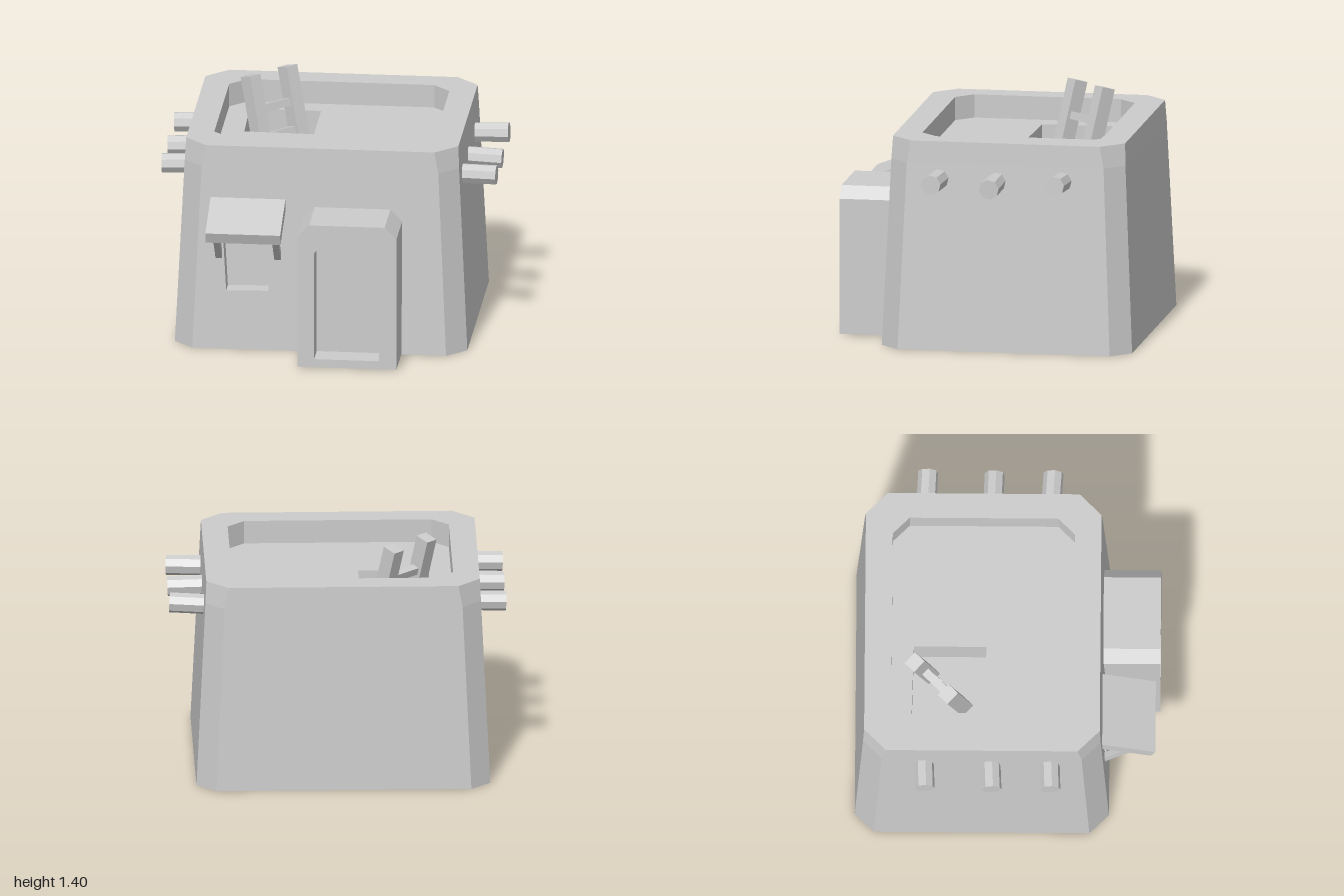
import * as THREE from 'three';

const mat = new THREE.MeshStandardMaterial({ color: 0xcccccc, flatShading: true });

function add(parent, name, geometry) {
  const mesh = new THREE.Mesh(geometry, mat);
  mesh.name = name;
  parent.add(mesh);
  return mesh;
}

// Skin a list of equal-length rings of [x, y, z]; skip leaves one side open
function loft(rings, { cap = false, base = false, skip = -1 } = {}) {
  const pos = [];
  const tri = (a, b, c) => pos.push(...a, ...b, ...c);
  const n = rings[0].length;
  for (let r = 0; r < rings.length - 1; r++) {
    const a = rings[r], b = rings[r + 1];
    for (let i = 0; i < n; i++) {
      if (i === skip && r < 2) continue;
      const j = (i + 1) % n;
      tri(a[i], a[j], b[j]);
      tri(a[i], b[j], b[i]);
    }
  }
  const first = rings[0], last = rings[rings.length - 1];
  for (let i = 1; i < n - 1; i++) {
    if (cap) tri(last[0], last[i], last[i + 1]);
    if (base) tri(first[0], first[i + 1], first[i]);
  }
  const g = new THREE.BufferGeometry();
  g.setAttribute('position', new THREE.Float32BufferAttribute(pos, 3));
  g.computeVertexNormals();
  return g;
}

// Rectangle with cut corners at height y, starting with its front side
function octagon(y, x0, x1, z0, z1, c) {
  return [[x0 + c, z1], [x1 - c, z1], [x1, z1 - c], [x1, z0 + c],
    [x1 - c, z0], [x0 + c, z0], [x0, z0 + c], [x0, z1 - c]].map(([x, z]) => [x, y, z]);
}

// Doorway outline with cut upper corners at depth z
function arch(z, x0, x1, y0, y1, cx, cy) {
  return [[x0, y0], [x1, y0], [x1, y1 - cy], [x1 - cx, y1], [x0 + cx, y1], [x0, y1 - cy]]
    .map(([x, y]) => [x, y, z]);
}

const shapeOf = (pts) => new THREE.Shape(pts.map(([x, y]) => new THREE.Vector2(x, y)));
const frontZ = (y) => 0.6 - 0.044 * y;

export function createModel() {
  const model = new THREE.Group();
  model.name = 'house';

  // Tapered walls, rim and parapet inside
  const roofY = 1.11;
  const low = octagon(0, -0.9, 0.84, -0.905, 0.6, 0.115);
  const mid = octagon(1.12, -0.846, 0.786, -0.856, frontZ(1.12), 0.112);
  const top = octagon(1.25, -0.84, 0.78, -0.85, frontZ(1.25), 0.13);
  const rim = octagon(1.25, -0.685, 0.625, -0.69, 0.39, 0.1);
  const roof = octagon(roofY, -0.685, 0.625, -0.69, 0.39, 0.1);
  add(model, 'walls', loft([low, mid, top, rim, roof], { base: true, skip: 0 }));

  // Front wall with the window opening, leaned to the wall's slope
  const win = [[-0.585, 0.36], [-0.335, 0.365], [-0.305, 0.78], [-0.61, 0.78]];
  const frontShape = shapeOf([low[0], low[1], mid[1], top[1], top[0], mid[0]]);
  frontShape.holes.push(shapeOf(win));
  const front = new THREE.ShapeGeometry(frontShape);
  const p = front.attributes.position;
  for (let i = 0; i < p.count; i++) p.setZ(i, frontZ(p.getY(i)));
  front.computeVertexNormals();
  add(model, 'frontWall', front);
  add(model, 'windowRecess', loft(
    [0, 0.1].map((d) => win.map(([x, y]) => [x, y, frontZ(y) - d])), { cap: true }));

  // Flat roof with a sunken hatch
  const hatch = [[-0.55, -0.14], [-0.135, -0.13], [-0.135, -0.56], [-0.56, -0.57]];
  const roofShape = shapeOf(roof.map(([x, , z]) => [x, -z]));
  roofShape.holes.push(shapeOf(hatch.map(([x, z]) => [x, -z])));
  add(model, 'roof', new THREE.ShapeGeometry(roofShape).rotateX(-Math.PI / 2).translate(0, roofY, 0));
  add(model, 'hatchPit', loft(
    [roofY, 0.93].map((y) => hatch.map(([x, z]) => [x, y, z])), { cap: true }));

  // Leaning ladder in the hatch
  const ladder = new THREE.Group();
  ladder.name = 'ladder';
  ladder.position.set(-0.435, 1.388, -0.455);
  ladder.rotation.set(-0.27, Math.PI / 4, 0, 'YXZ');
  for (const side of [-1, 1]) {
    add(ladder, 'ladderPost', new THREE.BoxGeometry(0.08, 0.48, 0.09)).position.set(side * 0.141, -0.24, 0);
  }
  for (const y of [-0.21, -0.38]) {
    add(ladder, 'ladderRung', new THREE.BoxGeometry(0.24, 0.045, 0.05)).position.y = y;
  }
  model.add(ladder);

  // Porch with the recessed door
  const outer = (z) => arch(z, -0.13, 0.46, 0.005, 0.89, 0.07, 0.07);
  const door = (z) => arch(z, -0.03, 0.355, 0.055, 0.785, 0.05, 0.07);
  add(model, 'porch', loft([outer(0.5), outer(0.9), door(0.9), door(0.75)], { cap: true, base: true }));

  // Sloping awning over the window, on two diagonal struts
  const awning = add(model, 'awning', new THREE.BoxGeometry(0.445, 0.07, 0.36));
  awning.position.set(-0.4575, 0.842, 0.693);
  awning.rotation.x = 0.37;
  const from = new THREE.Vector3(0, 0.57, 0.56), to = new THREE.Vector3(0, 0.79, 0.76);
  for (const x of [-0.63, -0.28]) {
    const strut = add(model, 'awningStrut', new THREE.BoxGeometry(0.038, 0.04, from.distanceTo(to)));
    strut.position.copy(from).lerp(to, 0.5).setX(x);
    strut.rotation.x = -Math.atan2(to.y - from.y, to.z - from.z);
  }

  // Beams poking out of both sides: side, y, z, small tilts
  const beams = [
    [1, 1.025, 0.25, 0.01, -0.06], [1, 1.015, -0.095, -0.03, -0.04], [1, 1.035, -0.49, 0.05, -0.04],
    [-1, 1.035, 0.25, 0.02, 0.04], [-1, 1.03, -0.1, 0.03, 0.05], [-1, 1.04, -0.495, 0.02, 0.04],
  ];
  for (const [side, y, z, tiltZ, tiltY] of beams) {
    const beam = add(model, side > 0 ? 'leftBeam' : 'rightBeam',
      new THREE.CylinderGeometry(0.06, 0.06, 0.28, 8).rotateZ(Math.PI / 2));
    beam.position.set(side > 0 ? 0.852 : -0.86, y, z);
    beam.rotation.set(0.15, tiltY, tiltZ);
  }
  return model;
}
